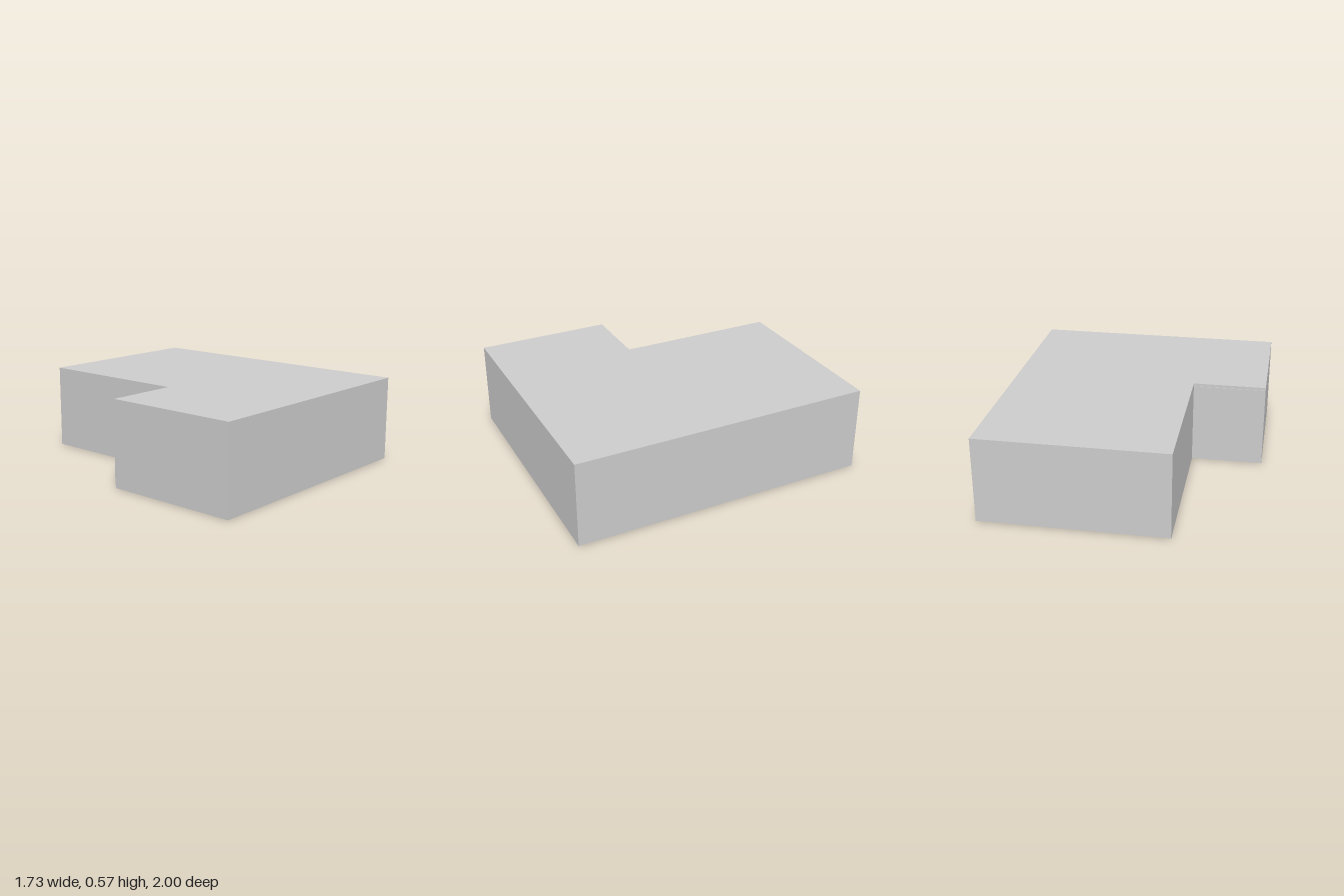
import * as THREE from 'three';

const WIDTH = 1.73, DEPTH = 2, HEIGHT = 0.575;
const NOTCH_X = -0.375, NOTCH_Z = 0.085; // inner corner of the cut-out

export function createModel() {
  const group = new THREE.Group();
  const material = new THREE.MeshStandardMaterial({ color: 0xcccccc, flatShading: true });
  const hx = WIDTH / 2, hz = DEPTH / 2;

  // L-shaped block: plan drawn with shape y = -z, then laid flat
  const plan = new THREE.Shape([
    [-hx, -hz], [hx, -hz], [hx, hz], [NOTCH_X, hz], [NOTCH_X, -NOTCH_Z], [-hx, -NOTCH_Z],
  ].map(([x, y]) => new THREE.Vector2(x, y)));
  const bodyGeometry = new THREE.ExtrudeGeometry(plan, { depth: HEIGHT, bevelEnabled: false });
  bodyGeometry.rotateX(-Math.PI / 2);
  const body = new THREE.Mesh(bodyGeometry, material);
  body.name = 'body';
  group.add(body);

  // Thin panel on the back-facing wall of the cut-out, with a narrow strip above and below
  const strip = 0.02, thickness = 0.004;
  const panel = new THREE.Mesh(
    new THREE.BoxGeometry(NOTCH_X + hx, HEIGHT - 2 * strip, thickness), material);
  panel.position.set((NOTCH_X - hx) / 2, HEIGHT / 2, NOTCH_Z - thickness / 2);
  panel.name = 'notchPanel';
  group.add(panel);

  return group;
}
